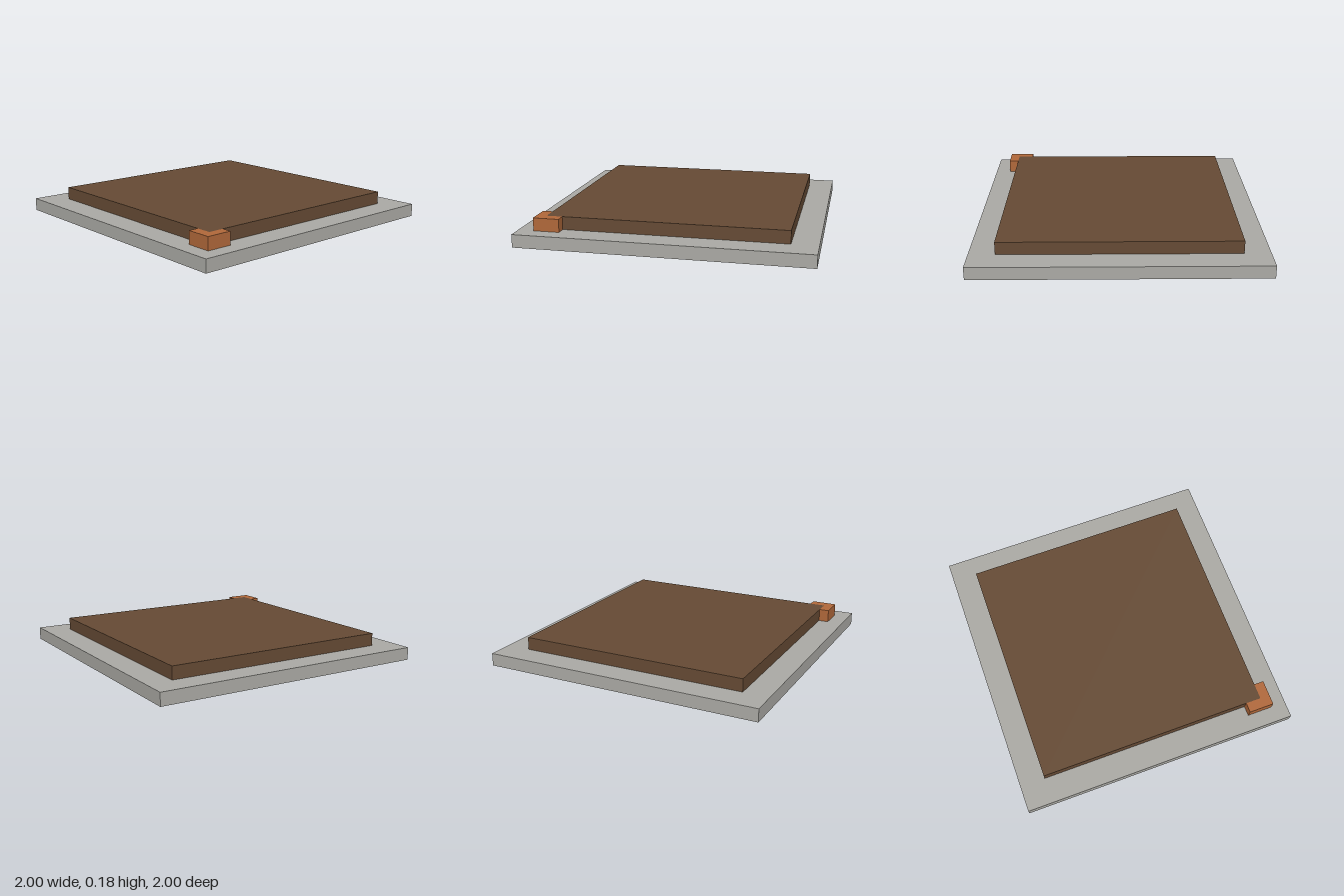
import * as THREE from 'three';

export function createModel() {
  const model = new THREE.Group();
  const material = (name, color) => {
    const m = new THREE.MeshStandardMaterial({ color });
    m.name = name;
    return m;
  };
  const stone = material('grey stone', 0xaaa9a4);
  const soil = material('brown soil', 0x654a34);
  const clay = material('orange clay', 0xb0683a);

  const add = (name, geometry, mat, y) => {
    const mesh = new THREE.Mesh(geometry, mat);
    mesh.name = name;
    mesh.position.y = y;
    model.add(mesh);
  };

  const layer = 0.09; // thickness of every layer
  const bed = 0.82; // half width of the raised bed
  const inner = 0.71, outer = 0.89; // extent of the corner block

  // Square base with the raised bed on top
  add('base', new THREE.BoxGeometry(2, layer, 2), stone, layer / 2);
  add('bed', new THREE.BoxGeometry(2 * bed, layer, 2 * bed), soil, layer * 1.5);

  // Corner block wrapping the front left corner of the bed, flush with its top
  const corner = new THREE.Shape([
    [inner, -outer], [outer, -outer], [outer, -inner],
    [bed, -inner], [bed, -bed], [inner, -bed],
  ].map(([x, y]) => new THREE.Vector2(x, y)));
  const block = new THREE.ExtrudeGeometry(corner, { depth: layer, bevelEnabled: false });
  block.rotateX(-Math.PI / 2);
  add('cornerBlock', block, clay, layer);

  return model;
}
